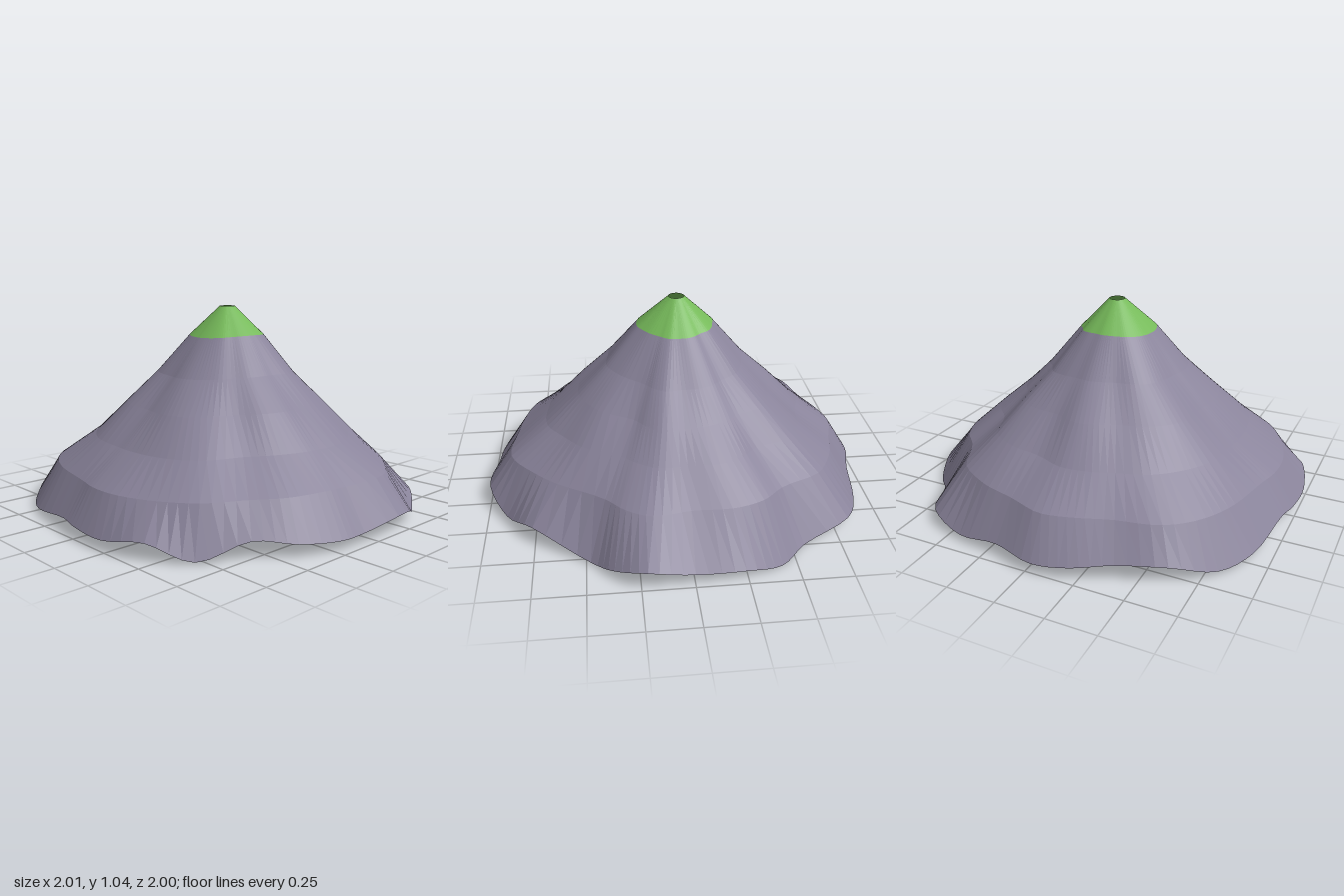
import * as THREE from 'three';

const SEGMENTS = 112;

// Wavy bottom edge, clockwise from above: x, y, z
const RIM = [
  [0.98, 0.055, 0.08], [0.965, 0.05, 0.225], [0.89, 0.065, 0.43], [0.76, 0.085, 0.59],
  [0.63, 0.01, 0.80], [0.45, 0.08, 0.93], [0.22, 0.05, 0.995], [0, 0.055, 0.99],
  [-0.13, 0.062, 0.965], [-0.45, 0.025, 0.915], [-0.65, 0.02, 0.81], [-0.81, 0.085, 0.63],
  [-0.89, 0.08, 0.40], [-0.97, 0.06, 0.21], [-1.0, 0.05, 0.03], [-0.945, 0.06, -0.19],
  [-0.915, 0.03, -0.42], [-0.815, 0.06, -0.64], [-0.56, 0.02, -0.775], [-0.43, 0.0, -0.89],
  [-0.24, 0.05, -0.97], [0, 0.06, -0.985], [0.22, 0.1, -1.0], [0.37, 0.05, -0.91],
  [0.48, 0.01, -0.79], [0.76, 0.09, -0.60], [0.90, 0.035, -0.42], [1.0, 0.09, -0.22],
];

// Rings from the crater down: radius, height, share of the rim's waviness,
// and how radius and height shift towards the straighter back slope
const RINGS = [
  { r: 0.04, y: 1.04, wave: 0, backR: 0, backY: 0 },
  { r: 0.2, y: 0.89, wave: 0.7, backR: -0.01, backY: 0 },
  { r: 0.36, y: 0.70, wave: 0.9, backR: 0, backY: -0.01 },
  { r: 0.52, y: 0.545, wave: 1, backR: -0.02, backY: 0.01 },
  { r: 0.69, y: 0.38, wave: 1, backR: -0.05, backY: 0.05 },
  { r: 0.88, y: 0.235, wave: 1, backR: -0.07, backY: 0.05 },
];

// Every ring as a list of points, with the rim last
function makeRings() {
  const curve = new THREE.CatmullRomCurve3(RIM.map((p) => new THREE.Vector3(...p)), true);
  const rim = Array.from({ length: SEGMENTS }, (_, i) => curve.getPoint(i / SEGMENTS));
  const rings = RINGS.map((ring, k) => rim.map((p) => {
    const length = Math.hypot(p.x, p.z);
    const a = Math.atan2(p.z, p.x);
    const back = Math.max(0, -p.z / length);
    const ripple = 0.012 * Math.sin(7 * a + k * 1.9) * ring.wave;
    const r = (ring.r + ring.backR * back) * (1 + (length - 1) * ring.wave + ripple);
    const y = ring.y + ring.backY * back + 0.01 * ring.wave * Math.cos(2 * a);
    return new THREE.Vector3(Math.cos(a) * r - 0.01 * (1 - ring.wave), y, Math.sin(a) * r);
  }));
  return [...rings, rim];
}

// Faceted skin between neighbouring rings
function loft(rings) {
  const positions = [];
  for (let k = 0; k < rings.length - 1; k++) {
    for (let i = 0; i < SEGMENTS; i++) {
      const j = (i + 1) % SEGMENTS;
      const [a, b, c, d] = [rings[k][i], rings[k][j], rings[k + 1][i], rings[k + 1][j]];
      for (const p of [a, b, c, b, d, c]) positions.push(p.x, p.y, p.z);
    }
  }
  const geometry = new THREE.BufferGeometry();
  geometry.setAttribute('position', new THREE.Float32BufferAttribute(positions, 3));
  geometry.computeVertexNormals();
  return geometry;
}

export function createModel() {
  const rock = new THREE.MeshStandardMaterial({ color: 0x8a849b, side: THREE.DoubleSide, flatShading: true });
  rock.name = 'greyPurpleRock';
  const green = new THREE.MeshStandardMaterial({ color: 0x76ba5a, side: THREE.DoubleSide, flatShading: true });
  green.name = 'green';

  const rings = makeRings();
  const group = new THREE.Group();
  group.name = 'mountain';

  // Green peak with an open crater
  const peak = new THREE.Mesh(loft(rings.slice(0, 2)), green);
  peak.name = 'peak';

  // Open rocky skirt
  const slopes = new THREE.Mesh(loft(rings.slice(1)), rock);
  slopes.name = 'slopes';

  group.add(peak, slopes);
  return group;
}
